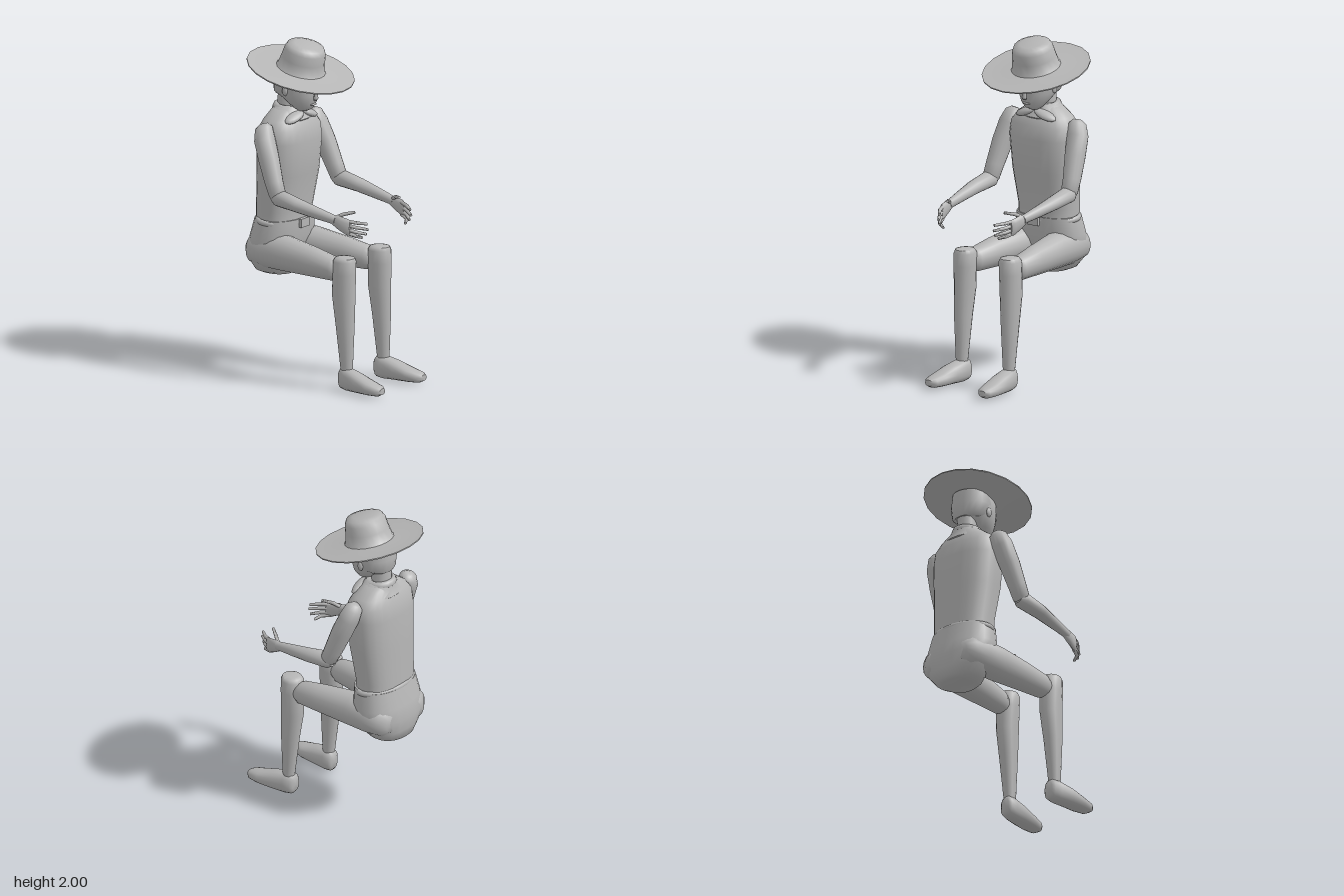
import * as THREE from 'three';
import { toCreasedNormals } from 'three/addons/utils/BufferGeometryUtils.js';

const plain = new THREE.MeshStandardMaterial({ color: 0xb6b6b6 });
plain.name = 'plain grey';
const UP = [0, 1, 0], FORWARD = [0, 0, 1];

// Closed skin over rings [x, y, z, radius across, radius deep]; power > 2 squares the outline
function loft(rings, { dir, n = 16, power = 2, side = 1 } = {}) {
  const centres = rings.map(r => new THREE.Vector3(r[0] * side, r[1], r[2]));
  const w = dir ? new THREE.Vector3(...dir) : centres.at(-1).clone().sub(centres[0]).normalize();
  const u = new THREE.Vector3(1, 0, 0).addScaledVector(w, -w.x).normalize();
  const v = new THREE.Vector3().crossVectors(w, u);
  const pos = [], index = [];
  const bend = c => Math.sign(c) * Math.pow(Math.abs(c), 2 / power);
  rings.forEach(([, , , a, b = a], i) => {
    for (let j = 0; j < n; j++) {
      const t = j / n * Math.PI * 2;
      pos.push(...centres[i].clone()
        .addScaledVector(u, a * bend(Math.cos(t)))
        .addScaledVector(v, b * bend(Math.sin(t))).toArray());
    }
  });
  const last = rings.length - 1, start = rings.length * n, end = start + 1;
  pos.push(...centres[0].toArray(), ...centres[last].toArray());
  for (let j = 0; j < n; j++) {
    const k = (j + 1) % n;
    for (let i = 0; i < last; i++) {
      const p = i * n, q = p + n;
      index.push(p + j, p + k, q + k, p + j, q + k, q + j);
    }
    index.push(start, k, j, end, last * n + j, last * n + k);
  }
  const geo = new THREE.BufferGeometry();
  geo.setAttribute('position', new THREE.Float32BufferAttribute(pos, 3));
  geo.setIndex(index);
  return toCreasedNormals(geo, 0.95);
}

function add(parent, name, geo, position = [0, 0, 0], scale = [1, 1, 1], rx = 0) {
  const mesh = new THREE.Mesh(geo, plain);
  mesh.name = name;
  mesh.position.set(...position);
  mesh.scale.set(...scale);
  mesh.rotation.x = rx;
  parent.add(mesh);
  return mesh;
}

function addBody(g) {
  add(g, 'torso', loft([
    [0, 0.91, -0.34, 0.19, 0.13], [0, 0.98, -0.34, 0.192, 0.128],
    [0, 1.2, -0.313, 0.21, 0.143], [0, 1.4, -0.303, 0.222, 0.148],
    [0, 1.48, -0.303, 0.215, 0.135], [0, 1.53, -0.305, 0.18, 0.11],
    [0, 1.57, -0.31, 0.125, 0.085], [0, 1.6, -0.31, 0.08, 0.07],
  ], { dir: UP, n: 24, power: 2.5 }));
  add(g, 'pelvis', loft([
    [0, 0.588, -0.38, 0.1, 0.1], [0, 0.605, -0.385, 0.14, 0.12],
    [0, 0.66, -0.385, 0.19, 0.13], [0, 0.74, -0.375, 0.222, 0.15],
    [0, 0.82, -0.355, 0.225, 0.152], [0, 0.93, -0.34, 0.205, 0.138],
  ], { dir: UP, n: 24, power: 2.3 }));
  // Belt dips slightly at the front
  add(g, 'belt', new THREE.TorusGeometry(0.2, 0.016, 8, 32), [0, 0.918, -0.34],
    [1, 0.65, 1.1], Math.PI / 2 + 0.1);
  add(g, 'buckle', new THREE.BoxGeometry(0.075, 0.052, 0.025), [0, 0.905, -0.198]);
  add(g, 'neck', new THREE.CylinderGeometry(0.058, 0.062, 0.15, 16), [0, 1.62, -0.315]);
  // Neckerchief: a tilted roll over a draped collar
  add(g, 'neckerchiefRoll', new THREE.TorusGeometry(0.072, 0.023, 8, 20), [0, 1.585, -0.308],
    [1, 1, 1.1], Math.PI / 2 + 0.12);
  add(g, 'neckerchiefDrape', loft([
    [0, 1.515, -0.303, 0.175, 0.105], [0, 1.53, -0.303, 0.17, 0.12],
    [0, 1.565, -0.305, 0.12, 0.1], [0, 1.605, -0.31, 0.085, 0.085],
  ], { dir: UP, n: 18 }));
  for (const s of [-1, 1]) {
    const flap = add(g, 'neckerchiefFlap', new THREE.SphereGeometry(1, 12, 8),
      [s * 0.075, 1.55, -0.21], [0.075, 0.02, 0.035], 0.4);
    flap.rotation.z = -s * 0.35;
  }
}

function addHead(g) {
  const head = new THREE.Group();
  head.name = 'head';
  g.add(head);
  add(head, 'face', loft([
    [0, 1.58, -0.2, 0.03, 0.025], [0, 1.595, -0.2, 0.052, 0.055],
    [0, 1.63, -0.212, 0.082, 0.088], [0, 1.68, -0.24, 0.108, 0.125],
    [0, 1.74, -0.247, 0.118, 0.137], [0, 1.82, -0.25, 0.115, 0.135],
    [0, 1.88, -0.25, 0.07, 0.09],
  ], { dir: UP, n: 20 }));
  // Hair shell, lower at the back
  add(head, 'hair', loft([
    [0, 1.675, -0.29, 0.09, 0.09], [0, 1.69, -0.288, 0.107, 0.1],
    [0, 1.76, -0.275, 0.123, 0.118], [0, 1.84, -0.265, 0.115, 0.12],
  ], { dir: UP, n: 20 }));
  add(head, 'nose', loft([
    [0, 1.652, -0.114, 0.012, 0.008], [0, 1.665, -0.108, 0.016, 0.014],
    [0, 1.72, -0.114, 0.007, 0.008],
  ], { dir: UP, n: 8 }));
  add(head, 'mouth', new THREE.SphereGeometry(1, 10, 6), [0, 1.626, -0.126], [0.03, 0.007, 0.008]);
  for (const s of [-1, 1]) {
    add(head, 'eye', new THREE.SphereGeometry(1, 10, 6), [s * 0.05, 1.717, -0.132], [0.018, 0.009, 0.01]);
    add(head, 'ear', new THREE.SphereGeometry(1, 8, 6), [s * 0.114, 1.71, -0.25], [0.012, 0.03, 0.02]);
  }

  // Wide hat, tipped forward
  const hat = new THREE.Group();
  hat.name = 'hat';
  hat.position.set(0, 1.815, -0.222);
  hat.rotation.x = 0.26;
  g.add(hat);
  const lathe = pts => toCreasedNormals(
    new THREE.LatheGeometry(pts.map(p => new THREE.Vector2(...p)), 20), 0.95);
  const brim = lathe([[0.1, -0.008], [0.22, -0.008], [0.322, 0.002], [0.322, 0.009], [0.22, 0.008], [0.1, 0.02]]);
  add(hat, 'brim', brim);
  add(hat, 'crown', lathe([[0.165, 0], [0.142, 0.02], [0.13, 0.08], [0.122, 0.135], [0.108, 0.162], [0.07, 0.172], [0, 0.174]]));
  add(hat, 'hatLining', lathe([[0, -0.006], [0.12, -0.006], [0.12, 0.01], [0, 0.01]]));
}

function addArm(g, side) {
  const arm = new THREE.Group();
  arm.name = side > 0 ? 'leftArm' : 'rightArm';
  g.add(arm);
  add(arm, 'upperArm', loft([
    [0.23, 1.528, -0.315, 0.025], [0.238, 1.505, -0.31, 0.052],
    [0.255, 1.44, -0.29, 0.066, 0.06], [0.272, 1.33, -0.245, 0.062],
    [0.288, 1.2, -0.195, 0.054], [0.293, 1.13, -0.165, 0.05], [0.293, 1.09, -0.15, 0.025],
  ], { side }));
  add(arm, 'forearm', loft([
    [0.293, 1.12, -0.195, 0.03], [0.294, 1.12, -0.16, 0.052, 0.05],
    [0.297, 1.095, -0.01, 0.048, 0.04], [0.289, 1.07, 0.12, 0.034, 0.034],
    [0.279, 1.045, 0.25, 0.022, 0.026],
  ], { side }));
  add(arm, 'palm', loft([
    [0.279, 1.047, 0.22, 0.016, 0.026], [0.277, 1.035, 0.265, 0.02, 0.042],
    [0.269, 1.015, 0.32, 0.018, 0.05], [0.26, 1.01, 0.342, 0.012, 0.046],
  ], { dir: FORWARD, n: 12, side }));
  // Four fingers curl inward; the thumb points up and in
  const digit = (name, a, b, c, r) => add(arm, name, loft([
    [...a, r], [...b, r], [...c, r * 0.75],
  ], { n: 8, side }));
  [[1.05, 1.035, 0.425], [1.025, 1.003, 0.432], [1, 0.973, 0.42], [0.978, 0.948, 0.39]].forEach(
    ([y0, y1, z]) => digit('finger', [0.267, y0, 0.315], [0.246, (y0 + y1) / 2, 0.37], [0.205, y1, z], 0.011));
  digit('thumb', [0.274, 1.06, 0.245], [0.25, 1.082, 0.285], [0.212, 1.095, 0.34], 0.011);
}

function addLeg(g, side) {
  const leg = new THREE.Group();
  leg.name = side > 0 ? 'leftLeg' : 'rightLeg';
  g.add(leg);
  add(leg, 'thigh', loft([
    [0.125, 0.735, -0.5, 0.04, 0.05], [0.13, 0.74, -0.46, 0.085, 0.09],
    [0.133, 0.745, -0.36, 0.1, 0.108], [0.138, 0.742, -0.22, 0.097, 0.106],
    [0.155, 0.728, 0, 0.08, 0.088], [0.165, 0.715, 0.15, 0.066, 0.073],
    [0.167, 0.713, 0.185, 0.05, 0.055], [0.167, 0.713, 0.2, 0.02, 0.025],
  ], { dir: FORWARD, side }));
  add(leg, 'shin', loft([
    [0.176, 0.125, 0.25, 0.034, 0.037], [0.176, 0.145, 0.25, 0.036, 0.039],
    [0.175, 0.4, 0.238, 0.052, 0.06], [0.172, 0.56, 0.226, 0.06, 0.074],
    [0.17, 0.7, 0.228, 0.064, 0.073], [0.168, 0.775, 0.23, 0.065, 0.071],
    [0.168, 0.795, 0.232, 0.055, 0.06], [0.168, 0.8, 0.232, 0.03, 0.035],
  ], { dir: UP, side }));
  add(leg, 'foot', loft([
    [0.17, 0.072, 0.203, 0.028, 0.045], [0.172, 0.072, 0.218, 0.045, 0.064],
    [0.176, 0.07, 0.26, 0.053, 0.069], [0.186, 0.06, 0.35, 0.061, 0.056],
    [0.193, 0.046, 0.44, 0.06, 0.04], [0.198, 0.04, 0.505, 0.047, 0.031],
    [0.2, 0.04, 0.53, 0.026, 0.018],
  ], { dir: FORWARD, power: 2.4, side }));
}

export function createModel() {
  const g = new THREE.Group();
  g.name = 'seatedFigure';
  addBody(g);
  addHead(g);
  for (const side of [1, -1]) {
    addArm(g, side);
    addLeg(g, side);
  }
  return g;
}
